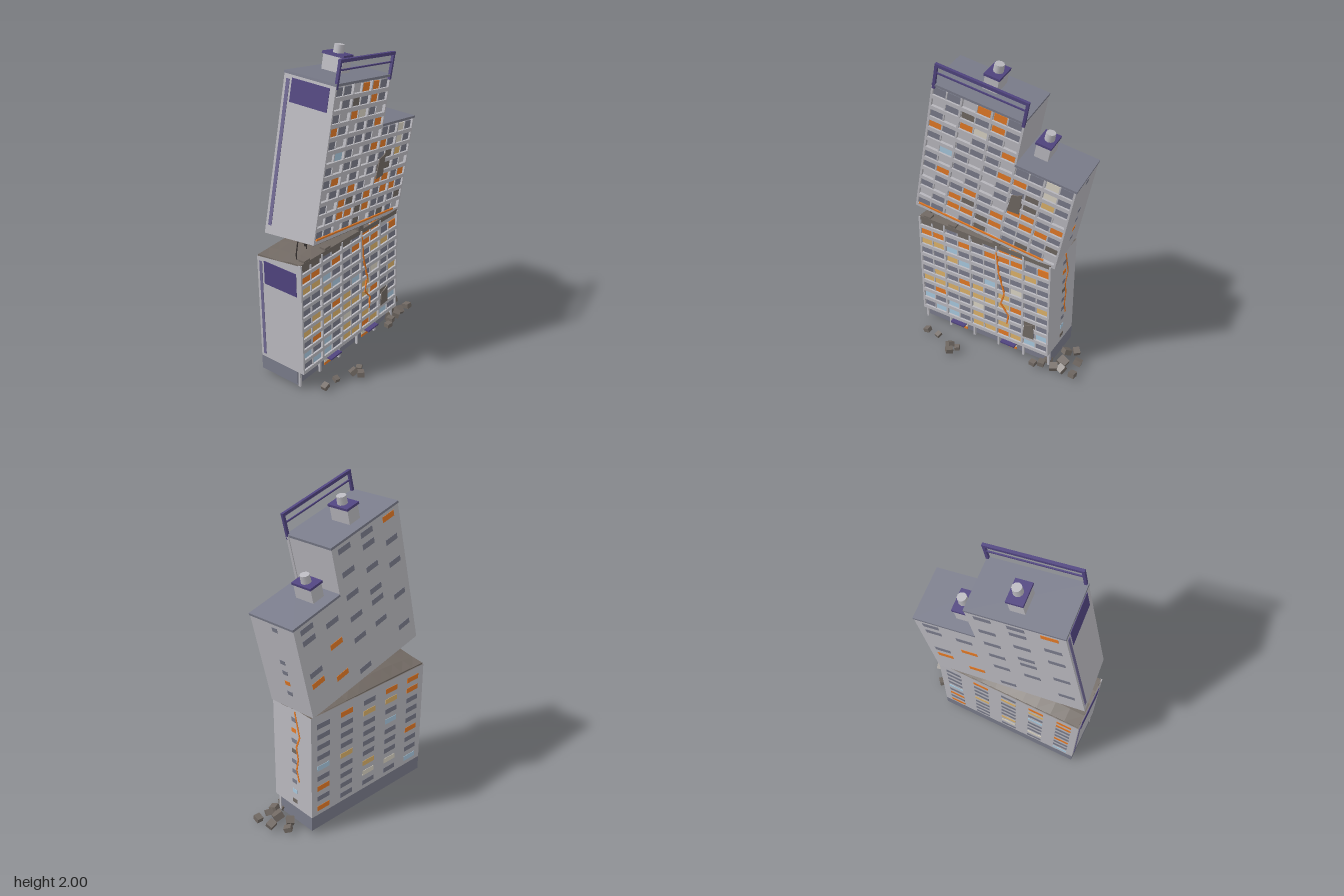
import * as THREE from 'three';

const mat = (name, color, extra = {}) => {
  const m = new THREE.MeshStandardMaterial({ color, ...extra });
  m.name = name;
  return m;
};

export function createModel() {
  const wall = mat('concrete', 0xbab9bf), slate = mat('slate', 0x7a7c8b, { side: THREE.DoubleSide });
  const purple = mat('purple trim', 0x50447f), faded = mat('faded purple', 0x6f6892);
  const orange = mat('orange', 0xe47a26), blue = mat('pale blue', 0xa8c8de);
  const tan = mat('warm tan', 0xdcb269), cream = mat('cream', 0xdad4c4);
  const brown = mat('broken concrete', 0x716963, { flatShading: true }), dark = mat('rebar', 0x3a3533);
  const paint = { S: slate, O: orange, B: blue, T: tan, C: cream, D: brown };

  const root = new THREE.Group();
  const add = (parent, name, geo, material, x, y, z) => {
    const m = new THREE.Mesh(geo, material);
    m.name = name;
    m.position.set(x, y, z);
    parent.add(m);
    return m;
  };
  const box = (parent, name, material, w, h, d, x, y, z) =>
    add(parent, name, new THREE.BoxGeometry(w, h, d), material, x, y, z);

  // Box spanning x0..x1 and z0..z1 whose floor and top heights follow rules of (x, z)
  const block = (parent, name, mats, x0, x1, z0, z1, floor, top, sx = 1, sz = 1) => {
    const g = new THREE.BoxGeometry(x1 - x0, 1, z1 - z0, sx, 1, sz);
    g.translate((x0 + x1) / 2, 0, (z0 + z1) / 2);
    const p = g.attributes.position;
    for (let i = 0; i < p.count; i++) {
      const x = p.getX(i), z = p.getZ(i);
      p.setY(i, p.getY(i) > 0 ? top(x, z) : floor(x, z));
    }
    g.computeVertexNormals();
    return add(parent, name, g, mats, 0, 0, 0);
  };

  const FLOOR = 0.0725, RECESS = -0.018, BACK = -0.328;

  // Recessed windows, balcony bands and fins; local origin is the bottom left front corner
  const facade = (g, bay, rows, heightAt) => {
    rows.forEach((row, k) => {
      [...row].forEach((c, i) => {
        if (!paint[c]) return;
        const u = bay * (Math.floor(i / 2) + (i % 2 ? 0.73 : 0.27));
        box(g, 'frontWindow', paint[c], bay * 0.43, 0.046, 0.006, u, k * FLOOR + 0.047, RECESS + 0.003);
      });
      for (let b = 0; b < row.length / 2; b++) {
        box(g, 'balconyBand', wall, bay - 0.01, 0.024, -RECESS, bay * (b + 0.5), k * FLOOR + 0.012, RECESS / 2);
        box(g, 'balconyDivider', wall, 0.008, FLOOR, 0.012, bay * (b + 0.5), (k + 0.5) * FLOOR, RECESS + 0.006);
      }
    });
    for (let b = 0; b <= 5; b++) {
      const h = heightAt(b);
      box(g, 'facadeFin', wall, 0.012, h, -RECESS, bay * b + (b === 0 ? 0.006 : b === 5 ? -0.006 : 0), h / 2, RECESS / 2);
    }
  };
  const backWindows = (g, bay, rows) => rows.forEach((row, k) => [...row].forEach((c, i) => {
    if (paint[c]) box(g, 'backWindow', paint[c], 0.096, 0.034, 0.004, bay * (i + 0.5), k * FLOOR + 0.046, BACK);
  }));
  const sideWindows = (g, x, row) => [...row].forEach((c, k) => {
    if (paint[c]) box(g, 'sideWindow', paint[c], 0.004, 0.027, 0.038, x, k * FLOOR + 0.046, -0.18);
  });
  const rod = (g, name, material, a, b, r) => {
    const A = new THREE.Vector3(...a), B = new THREE.Vector3(...b);
    const m = box(g, name, material, r, A.distanceTo(B), r, 0, 0, 0);
    m.position.copy(A).add(B).multiplyScalar(0.5);
    m.quaternion.setFromUnitVectors(new THREE.Vector3(0, 1, 0), B.sub(A).normalize());
  };
  const path = (g, name, material, pts, r) => {
    for (let i = 1; i < pts.length; i++) rod(g, name, material, pts[i - 1], pts[i], r);
  };

  // Lower block, standing upright
  const lower = new THREE.Group();
  lower.name = 'lowerBlock';
  lower.position.set(-0.555, 0.125, 0.06);
  root.add(lower);
  const LW = 0.92, lb = LW / 5;
  const lowTop = (x, z) => {
    const f = (z - BACK) / -BACK, t = x / LW;
    return (0.735 - 0.03 * t) * f + (0.69 + 0.012 * t) * (1 - f);
  };
  block(lower, 'lowerWalls', [wall, wall, brown, brown, wall, wall], 0, LW, BACK, RECESS, () => 0, lowTop);
  facade(lower, lb, ['SBBSTTOTBS', 'BSBSTSTSSB', 'SOSSCSSSDS', 'TTTTTTTOSS', 'STSOTSTSST', 'SSSSSBSCSS',
    'SSTBSSSSSS', 'TTBSSSSTTS', 'OOSOSOOOSO', 'DDSDDSOO'], b => 0.735 - 0.006 * b);
  backWindows(lower, lb, ['BSSSO', 'SCCSS', 'SSTSO', 'OSSSS', 'SSSTB', 'SBSSS', 'SSSSS', 'OTTSS', 'OOSOS']);
  sideWindows(lower, LW, 'DBSSSDSOS');
  // Jagged broken top
  block(lower, 'brokenTop', brown, 0.005, LW - 0.005, BACK + 0.005, -0.004, (x, z) => lowTop(x, z) - 0.02,
    (x, z) => lowTop(x, z) + 0.004 + 0.03 * Math.max(0, Math.sin(x / LW * 4.2))
      * Math.max(0, Math.sin(-z / 0.33 * Math.PI)) + 0.005 * Math.sin(x * 71 + z * 53), 10, 4);
  [0.06, 0.24, 0.55].forEach(x => box(lower, 'brokenChunk', brown, 0.05, 0.03, 0.04, x, 0.735, -0.025));
  // Bent reinforcing bars
  [[0.05, 0.86], [0.17, 0.81], [0.19, 0.8], [0.21, 0.82], [0.36, 0.8], [0.4, 0.79]].forEach(([x, h], i) =>
    path(lower, 'rebar', dark, [[x, 0.7, -0.07 - i * 0.03], [x - 0.005, 0.77, -0.07 - i * 0.03], [x + 0.008, h, -0.065 - i * 0.03]], 0.005));
  // End panel and stripe
  box(lower, 'endPanel', purple, 0.006, 0.15, 0.24, 0, 0.6, -0.155);
  box(lower, 'endStripe', faded, 0.006, 0.64, 0.02, 0, 0.345, -0.3);

  // Base storey, open underneath
  box(root, 'baseBackWall', slate, LW, 0.095, 0.008, -0.095, 0.0775, -0.264);
  box(root, 'baseFrontWall', slate, LW, 0.095, 0.008, -0.095, 0.0775, 0.006);
  [-0.551, 0.361].forEach(x => box(root, 'baseEndWall', slate, 0.008, 0.095, 0.27, x, 0.0775, -0.13));
  for (let b = 0; b <= 5; b++) box(root, 'basePost', wall, 0.014, 0.1, 0.014, -0.548 + b * 0.181, 0.075, 0.024);
  [-0.28, 0.09].forEach(x => {
    box(root, 'door', cream, 0.066, 0.055, 0.008, x, 0.08, 0.013);
    box(root, 'doorStep', orange, 0.066, 0.02, 0.008, x, 0.043, 0.013);
    box(root, 'doorCanopy', purple, 0.1, 0.01, 0.078, x, 0.114, 0.046);
  });

  // Upper block, broken off and leaning
  const upper = new THREE.Group();
  upper.name = 'upperBlock';
  upper.position.set(-0.52, 1.0, 0.126);
  upper.rotation.set(0.045, 0.078, -0.197, 'YXZ');
  root.add(upper);
  const UW = 0.925, ub = UW / 5, STEP = ub * 3, H1 = 0.884, H2 = 0.595;
  const upFloor = (x, z) => (z < -0.2 ? -0.03 * (1 - x / UW) : 0);
  const skin = [wall, wall, slate, brown, wall, wall];
  block(upper, 'tallWalls', skin, 0, STEP, BACK, RECESS, upFloor, () => H1);
  block(upper, 'shortWalls', skin, STEP, UW, BACK, RECESS, upFloor, () => H2);
  block(upper, 'brokenUnderside', brown, 0.005, UW - 0.005, BACK + 0.005, -0.006,
    (x, z) => -0.006 - 0.025 * Math.max(0, Math.sin(x * 3.3)) * Math.sin(-z / 0.33 * Math.PI), () => 0.006, 8, 4);
  facade(upper, ub, ['SS.SD.SDS.', '.SOODOSSSD', 'S.ODSOSOOS', '.SSOS.OOSO', 'SO.S.SDDS.', 'S.SS.SSDTS',
    '.BS.SOOSCS', 'S.SSS.SSCS', 'OS.SSO', 'S.OCS.', '.SDSOS', 'SS.OOS'], b => (b > 3 ? H2 : H1));
  backWindows(upper, ub, ['..S..', 'S..O.', '....O', '.SS.S', 'S..O.', '.SS..', '.S.SS', 'S.S.S', '.S...', 'S.S..', '.S.', 'OSS']);
  sideWindows(upper, UW, '.SOSS..S');
  box(upper, 'glowingBreak', orange, UW - 0.1, 0.01, 0.008, UW / 2 - 0.03, 0.028, 0);
  box(upper, 'roofSlab', slate, STEP + 0.006, 0.014, 0.332, STEP / 2, H1 + 0.004, -0.164);
  box(upper, 'lowerRoofSlab', slate, UW - STEP + 0.004, 0.014, 0.332, (STEP + UW) / 2 + 0.002, H2 + 0.004, -0.164);
  box(upper, 'endPanel', purple, 0.006, 0.13, 0.24, 0, 0.8, -0.155);
  box(upper, 'endStripe', faded, 0.006, 0.83, 0.022, 0, 0.44, -0.3);
  // Roof huts with vents
  [[0.283, H1], [0.65, H2]].forEach(([x, y]) => {
    box(upper, 'roofHut', wall, 0.085, 0.1, 0.13, x, y + 0.05, -0.195);
    box(upper, 'roofHutCap', purple, 0.098, 0.014, 0.142, x, y + 0.103, -0.195);
    add(upper, 'roofVent', new THREE.CylinderGeometry(0.028, 0.03, 0.05, 10), wall, x + 0.005, y + 0.132, -0.195);
  });
  // Roof sign frame
  const fx0 = 0.012, fx1 = 0.553;
  [fx0, fx1].forEach(x => rod(upper, 'framePost', purple, [x, H1 - 0.02, -0.006], [x, H1 + 0.135, -0.004], 0.016));
  rod(upper, 'frameTopRail', purple, [fx0 - 0.008, H1 + 0.13, -0.004], [fx1 + 0.008, H1 + 0.13, -0.004], 0.018);
  rod(upper, 'frameMidRail', purple, [fx0, H1 + 0.08, -0.006], [fx1, H1 + 0.08, -0.006], 0.008);

  // Glowing cracks on the front and right side
  path(root, 'frontCrack', orange, [[0, 0.8, 0.058], [0.015, 0.65, 0.058], [0.055, 0.5, 0.058], [0.03, 0.41, 0.058],
    [0.085, 0.34, 0.058], [0.075, 0.265, 0.058]], 0.009);
  path(root, 'sideCrack', orange, [[0.362, 0.81, -0.13], [0.362, 0.65, -0.17], [0.362, 0.57, -0.14], [0.362, 0.49, -0.155],
    [0.362, 0.41, -0.14], [0.362, 0.33, -0.16]], 0.011);

  // Blast scars across the balconies
  const scar = (g, x, y, h) => {
    const s = new THREE.Shape([[-0.04, -h], [0.035, -h * 0.9], [0.03, h], [0.005, h * 0.75], [-0.03, h * 0.6]]
      .map(p => new THREE.Vector2(...p)));
    add(g, 'blastScar', new THREE.ExtrudeGeometry(s, { depth: 0.006, bevelEnabled: false }), brown, x, y, 0);
  };
  scar(lower, 0.785, 0.155, 0.06);
  scar(upper, 0.605, 0.35, 0.075);

  // Fallen rubble: x, z, size
  [[-0.47, 0.15, 0.04], [-0.38, 0.16, 0.035], [-0.265, 0.2, 0.045], [-0.245, 0.24, 0.045], [-0.21, 0.2, 0.035],
    [0.515, -0.07, 0.05], [0.53, 0.035, 0.045], [0.43, -0.03, 0.06], [0.41, -0.12, 0.05], [0.46, -0.16, 0.045],
    [0.4, 0.04, 0.05], [0.32, 0.05, 0.045], [0.27, 0.07, 0.04], [0.45, 0.03, 0.05], [0.34, 0.0, 0.05]
  ].forEach(([x, z, s], i) => {
    const m = box(root, 'rubble', brown, s, s * 0.7, s * 0.9, x, 0.036 + (i % 3) * 0.004, z);
    m.rotation.set(Math.sin(i * 2.1) * 0.4, i * 1.3, Math.cos(i * 1.7) * 0.35);
  });
  return root;
}
